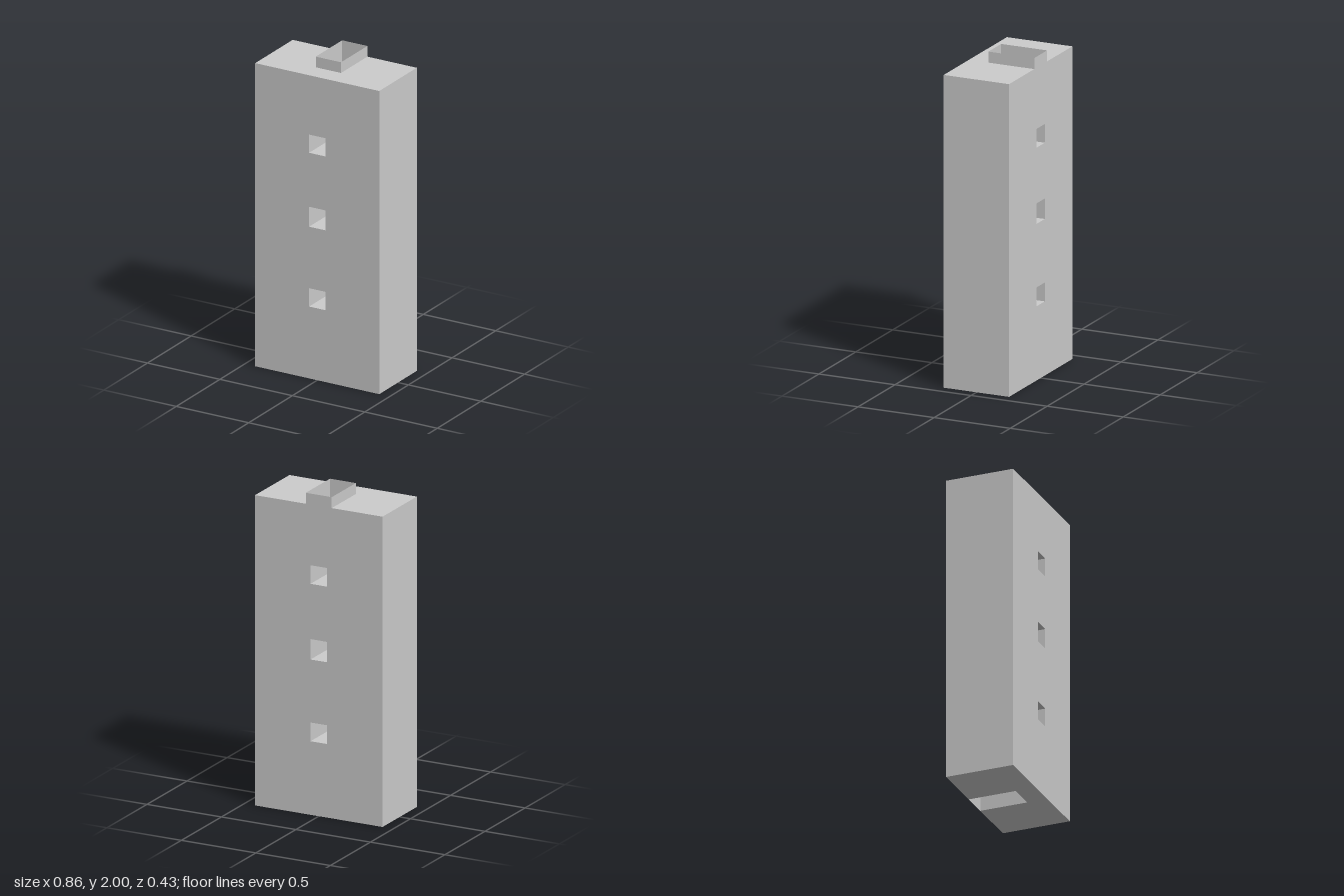
import * as THREE from 'three';

const W = 0.428, D = 0.215, H = 1.932;        // block half width, half depth, height
const SX = 0.087, SZ = 0.087, TOP = 2;        // shaft half width, front wall z, rim height
const HX = 0.056;                             // window half width
const WINDOWS = [[0.458, 0.575], [0.967, 1.094], [1.438, 1.554]];

function polygon(points) {
  return new THREE.Shape(points.map(([x, y]) => new THREE.Vector2(x, y)));
}

// Upright panel outline with the three windows cut out
function windowed(points) {
  const shape = polygon(points);
  for (const [a, b] of WINDOWS) {
    shape.holes.push(polygon([[-HX, a], [-HX, b], [HX, b], [HX, a]]));
  }
  return new THREE.ShapeGeometry(shape);
}

export function createModel() {
  const model = new THREE.Group();
  const material = new THREE.MeshStandardMaterial({ color: 0xcccccc, side: THREE.DoubleSide });
  const add = (name, geometry, parent = model) => {
    const mesh = new THREE.Mesh(geometry, material);
    mesh.name = name;
    parent.add(mesh);
    return mesh;
  };
  // Upright wall across x, from z0 to z1 and y0 to y1, facing side (+1 or -1)
  const sideWall = (name, x, z0, z1, y0, y1, side, parent) =>
    add(name, new THREE.PlaneGeometry(z1 - z0, y1 - y0)
      .rotateY(side * Math.PI / 2)
      .translate(x, (y0 + y1) / 2, (z0 + z1) / 2), parent);

  // Outer block: front, back (rising into the rim) and sides
  add('frontWall', windowed([[-W, 0], [W, 0], [W, H], [-W, H]]).translate(0, 0, D));
  add('backWall', windowed([[-W, 0], [W, 0], [W, H], [SX, H], [SX, TOP], [-SX, TOP], [-SX, H], [-W, H]])
    .rotateY(Math.PI).translate(0, 0, -D));
  for (const s of [-1, 1]) sideWall(s > 0 ? 'leftWall' : 'rightWall', s * W, -D, D, 0, H, s);

  // Roof and base, both notched where the shaft passes
  for (const s of [-1, 1]) {
    const plan = polygon([[-W, D], [W, D], [W, -D], [SX, -D], [SX, SZ], [-SX, SZ], [-SX, -D], [-W, -D]]
      .map(([x, z]) => [x, -s * z]));
    add(s > 0 ? 'roof' : 'base', new THREE.ShapeGeometry(plan)
      .rotateX(-s * Math.PI / 2).translate(0, s > 0 ? H : 0, 0));
  }

  // Open vertical shaft whose thin walls form the rim above the roof
  const shaft = new THREE.Group();
  shaft.name = 'shaft';
  model.add(shaft);
  add('shaftFront', windowed([[-SX, 0], [SX, 0], [SX, TOP], [-SX, TOP]]).translate(0, 0, SZ), shaft);
  for (const s of [-1, 1]) sideWall('shaftSide', s * SX, -D, SZ, 0, TOP, s, shaft);

  // Window tunnels running from front to back
  for (const [a, b] of WINDOWS) {
    const tunnel = new THREE.Group();
    tunnel.name = 'windowTunnel';
    model.add(tunnel);
    for (const s of [-1, 1]) {
      sideWall('tunnelSide', s * HX, -D, D, a, b, -s, tunnel);
      add(s > 0 ? 'tunnelCeiling' : 'tunnelFloor', new THREE.PlaneGeometry(2 * HX, 2 * D)
        .rotateX(s * Math.PI / 2).translate(0, s > 0 ? b : a, 0), tunnel);
    }
  }
  return model;
}
